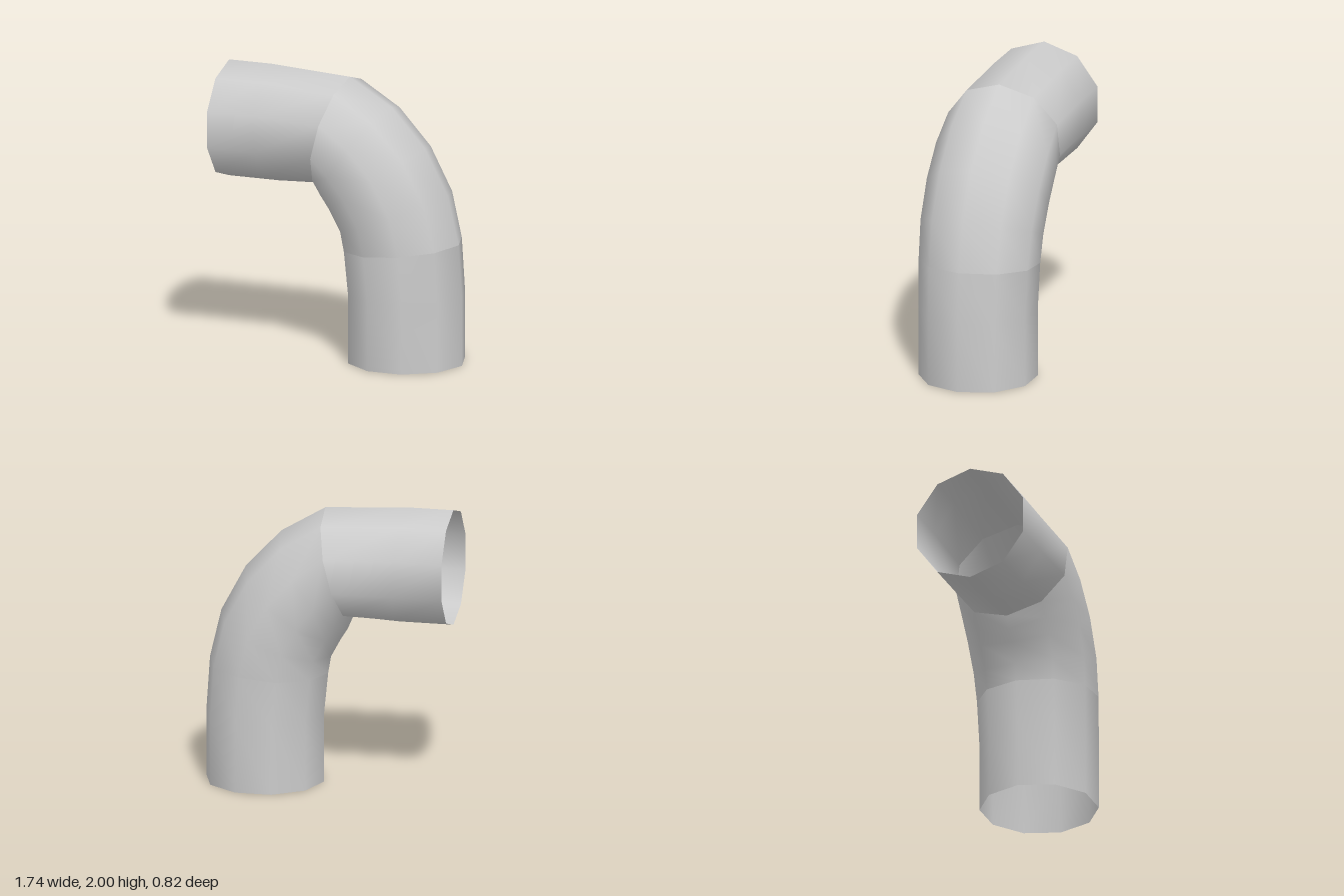
import * as THREE from 'three';

const SIDES = 10;

// Each ring: [outer x, outer y, inner x, inner y, half-width in z]
const RINGS = [
  [-0.87, 2.0, -0.87, 1.18, 0.41],
  [-0.55, 2.0, -0.5, 1.18, 0.41],
  [0.03, 1.965, -0.165, 1.195, 0.418],
  [0.34, 1.78, -0.13, 1.11, 0.428],
  [0.59, 1.51, -0.08, 1.03, 0.43],
  [0.76, 1.19, -0.01, 0.9, 0.426],
  [0.84, 0.85, 0.01, 0.78, 0.418],
  [0.865, 0.48, 0.04, 0.48, 0.41],
  [0.865, 0.0, 0.04, 0.0, 0.41],
];

// Open ten-sided tube skinned over a run of rings, smooth within the run
function tubeSection(name, rings, material) {
  const positions = [];
  const index = [];
  rings.forEach(([ox, oy, ix, iy, halfZ], i) => {
    for (let j = 0; j < SIDES; j++) {
      const a = (j / SIDES) * Math.PI * 2;
      const t = (1 + Math.cos(a)) / 2;
      positions.push(ix + (ox - ix) * t, iy + (oy - iy) * t, halfZ * Math.sin(a));
      if (i < rings.length - 1) {
        const p = i * SIDES + j;
        const q = i * SIDES + ((j + 1) % SIDES);
        index.push(p, q, p + SIDES, q, q + SIDES, p + SIDES);
      }
    }
  });
  const geometry = new THREE.BufferGeometry();
  geometry.setAttribute('position', new THREE.Float32BufferAttribute(positions, 3));
  geometry.setIndex(index);
  geometry.computeVertexNormals();
  const mesh = new THREE.Mesh(geometry, material);
  mesh.name = name;
  return mesh;
}

export function createModel() {
  const group = new THREE.Group();
  group.name = 'pipeElbow';
  const material = new THREE.MeshStandardMaterial({ color: 0xcccccc, side: THREE.DoubleSide });
  // Separate sections keep the two joints creased
  group.add(
    tubeSection('horizontalPipe', RINGS.slice(0, 3), material),
    tubeSection('bend', RINGS.slice(2, 7), material),
    tubeSection('verticalPipe', RINGS.slice(6), material),
  );
  return group;
}
